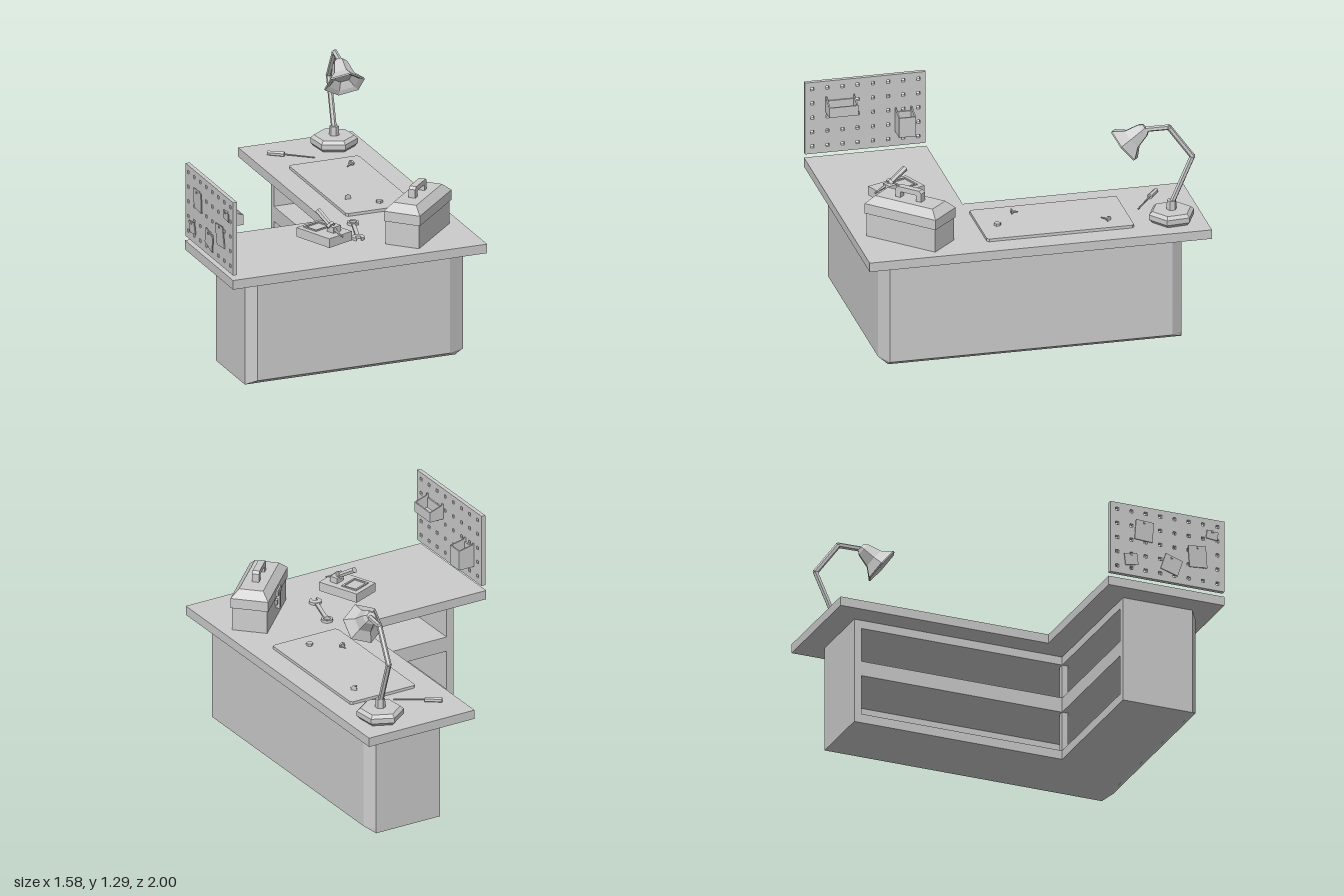
import * as THREE from 'three';

export function createModel() {
  const root = new THREE.Group();
  const grey = new THREE.MeshStandardMaterial({ color: 0xcccccc, flatShading: true, side: THREE.DoubleSide });
  grey.name = 'light grey';

  const add = (parent, name, geo, x = 0, y = 0, z = 0) => {
    const m = new THREE.Mesh(geo, grey);
    m.name = name;
    m.position.set(x, y, z);
    parent.add(m);
    return m;
  };
  const group = (name, x = 0, y = 0, z = 0, ry = 0, parent = root) => {
    const g = new THREE.Group();
    g.name = name;
    g.position.set(x, y, z);
    g.rotation.y = ry;
    parent.add(g);
    return g;
  };
  // box given by its limits
  const span = (parent, name, x0, x1, y0, y1, z0, z1) =>
    add(parent, name, new THREE.BoxGeometry(x1 - x0, y1 - y0, z1 - z0), (x0 + x1) / 2, (y0 + y1) / 2, (z0 + z1) / 2);
  // outline in x,z extruded upwards
  const slab = (pts, y0, y1) => {
    const s = new THREE.Shape(pts.map(([x, z]) => new THREE.Vector2(x, -z)));
    return new THREE.ExtrudeGeometry(s, { depth: y1 - y0, bevelEnabled: false }).rotateX(-Math.PI / 2).translate(0, y0, 0);
  };
  // tapered rod between two points
  const rod = (parent, name, a, b, r0, r1 = r0, sides = 6) => {
    const p = new THREE.Vector3(...a), q = new THREE.Vector3(...b), d = q.clone().sub(p);
    const m = add(parent, name, new THREE.CylinderGeometry(r1, r0, d.length(), sides));
    m.position.copy(p).add(q).multiplyScalar(0.5);
    m.quaternion.setFromUnitVectors(new THREE.Vector3(0, 1, 0), d.normalize());
    return m;
  };
  // surface through equal-length rings of points
  const loft = (rings, closed) => {
    const pos = [];
    const n = rings[0].length;
    for (let r = 0; r + 1 < rings.length; r++) {
      for (let i = 0; i < (closed ? n : n - 1); i++) {
        const j = (i + 1) % n, a = rings[r][i], b = rings[r][j], c = rings[r + 1][j], d = rings[r + 1][i];
        pos.push(...a, ...b, ...c, ...a, ...c, ...d);
      }
    }
    const g = new THREE.BufferGeometry();
    g.setAttribute('position', new THREE.Float32BufferAttribute(pos, 3));
    g.computeVertexNormals();
    return g;
  };

  // L-shaped worktop
  add(root, 'worktop', slab([[-0.77, 1], [0.79, 1], [0.79, -1], [0.09, -1], [0.09, 0.285], [-0.77, 0.285]], 0.64, 0.695));

  // cabinet: bevelled outer shell, shelves and end panels
  const cabinet = group('cabinet');
  const full = [[-0.64, 0.86], [-0.58, 0.905], [0.6, 0.905], [0.7, 0.86], [0.7, -0.79], [0.655, -0.855]];
  const inset = [[-0.64, 0.86], [-0.635, 0.86], [0.65, 0.86], [0.655, 0.855], [0.655, -0.85], [0.655, -0.855]];
  const ring = (pts, y) => pts.map(([x, z]) => [x, y, z]);
  add(cabinet, 'outerShell', loft([ring(inset, 0), ring(full, 0.03), ring(full, 0.61), ring(inset, 0.64)], false));
  const plan = [[-0.64, 0.86], [0.655, 0.86], [0.655, -0.855], [0.23, -0.855], [0.23, 0.43], [-0.64, 0.43]];
  for (const [name, y0, y1] of [['cabinetFloor', 0, 0.055], ['middleShelf', 0.295, 0.385], ['topRail', 0.59, 0.64]])
    add(cabinet, name, slab(plan, y0, y1));
  span(cabinet, 'frontInnerPanel', -0.64, 0.655, 0, 0.64, 0.84, 0.86);
  span(cabinet, 'sideInnerPanel', 0.635, 0.655, 0, 0.64, -0.855, 0.86);
  span(cabinet, 'backEndPanel', 0.23, 0.655, 0, 0.64, -0.855, -0.81);
  span(cabinet, 'rightEndPanel', -0.64, -0.595, 0, 0.64, 0.43, 0.86);
  span(cabinet, 'cornerPost', 0.23, 0.265, 0, 0.64, 0.43, 0.465);

  // pegboard with square holes
  const peg = group('pegboard');
  const board = new THREE.Shape([[-1, 0.725], [-0.295, 0.725], [-0.295, 1.165], [-1, 1.165]].map(p => new THREE.Vector2(...p)));
  for (let c = 0; c < 8; c++) for (let r = 0; r < 5; r++) {
    const u = -0.957 + c * 0.0885, v = 0.77 + r * 0.0885, h = 0.01;
    board.holes.push(new THREE.Path([[u - h, v - h], [u - h, v + h], [u + h, v + h], [u + h, v - h]].map(p => new THREE.Vector2(...p))));
  }
  add(peg, 'perforatedBoard', new THREE.ExtrudeGeometry(board, { depth: 0.025, bevelEnabled: false })
    .rotateY(Math.PI / 2), -0.77, 0, 0);
  // open bins with sloping sides, hung by hooks
  const bin = (x1, y0, yBack, yFront, z0, z1) => {
    const x0 = -0.745, t = 0.008;
    const side = new THREE.Shape([[x0, y0], [x1, y0], [x1, yFront], [x0, yBack]].map(p => new THREE.Vector2(...p)));
    for (const z of [z0, z1 - t])
      add(peg, 'binSide', new THREE.ExtrudeGeometry(side, { depth: t, bevelEnabled: false }), 0, 0, z);
    span(peg, 'binFloor', x0, x1, y0, y0 + t, z0, z1);
    span(peg, 'binFront', x1 - t, x1, y0, yFront, z0, z1);
    span(peg, 'binBack', x0, x0 + t, y0, yBack - 0.02, z0, z1);
    for (const z of [z0, z1 - t]) span(peg, 'binHook', x0, x0 + 0.012, yBack - 0.02, yBack + 0.005, z, z + t);
  };
  bin(-0.655, 0.975, 1.065, 1.035, 0.71, 0.88);
  bin(-0.645, 0.815, 0.955, 0.935, 0.375, 0.475);
  // notes pinned to the far side
  for (const [z, y, w, h, a] of [[0.5, 1.01, 0.11, 0.12, 0.05], [0.83, 0.91, 0.11, 0.13, -0.1],
    [0.67, 0.83, 0.11, 0.1, 0.3], [0.42, 0.82, 0.08, 0.07, -0.15], [0.92, 1.06, 0.07, 0.05, 0.1]]) {
    const n = add(peg, 'pinnedNote', new THREE.BoxGeometry(0.006, h, w), -0.78, y, z);
    n.rotation.set(a, 0, 0.06);
    add(peg, 'pin', new THREE.BoxGeometry(0.02, 0.012, 0.012), -0.78, y + h * 0.4, z);
  }

  // toolbox
  const box = group('toolbox', 0.492, 0.695, 0.69, Math.PI / 4);
  add(box, 'toolboxBody', new THREE.BoxGeometry(0.455, 0.14, 0.205), 0, 0.07, 0);
  const rect = (w, d, y) => [[-w, y, d], [w, y, d], [w, y, -d], [-w, y, -d]];
  add(box, 'toolboxLid', loft([rect(0, 0, 0.14), rect(0.235, 0.11, 0.14), rect(0.235, 0.11, 0.2),
    rect(0.19, 0.07, 0.245), rect(0, 0, 0.245)], true));
  const grip = new THREE.Shape([[-0.085, 0], [-0.085, 0.05], [-0.07, 0.065], [0.07, 0.065], [0.085, 0.05], [0.085, 0],
    [0.052, 0], [0.052, 0.035], [-0.052, 0.035], [-0.052, 0]].map(p => new THREE.Vector2(...p)));
  add(box, 'toolboxHandle', new THREE.ExtrudeGeometry(grip, { depth: 0.04, bevelEnabled: false }), 0, 0.245, -0.02);
  span(box, 'latchUpper', -0.04, 0.04, 0.145, 0.18, -0.12, -0.11);
  span(box, 'latchLower', -0.04, 0.04, 0.09, 0.12, -0.115, -0.1);
  span(box, 'latchTongue', -0.016, 0.016, 0.06, 0.16, -0.125, -0.1);

  // work mat and loose screws
  const mx = [0.225, 0.655], mz = [-0.58, 0.28], k = 0.012;
  add(root, 'workMat', slab([[mx[0], mz[1] - k], [mx[0] + k, mz[1]], [mx[1] - k, mz[1]], [mx[1], mz[1] - k],
    [mx[1], mz[0] + k], [mx[1] - k, mz[0]], [mx[0] + k, mz[0]], [mx[0], mz[0] + k]], 0.695, 0.712));
  const screw = (x, z, dx, dz) => {
    rod(root, 'screwHead', [x, 0.722, z], [x + dx * 0.2, 0.722, z + dz * 0.2], 0.02, 0.016);
    rod(root, 'screwShank', [x + dx * 0.2, 0.722, z + dz * 0.2], [x + dx, 0.718, z + dz], 0.009, 0.003);
  };
  screw(0.325, 0.06, 0, -0.04);
  screw(0.56, -0.455, -0.04, 0.035);
  add(root, 'looseNut', new THREE.CylinderGeometry(0.02, 0.02, 0.016, 6), 0.47, 0.718, 0.175);

  // desk lamp
  const lamp = group('deskLamp');
  const lathe = pts => new THREE.LatheGeometry(pts.map(p => new THREE.Vector2(...p)), 6);
  add(lamp, 'lampBase', lathe([[0, 0], [0.115, 0], [0.135, 0.02], [0.135, 0.05], [0.115, 0.068], [0, 0.07]]), 0.6, 0.697, -0.81)
    .rotation.y = 0.1;
  rod(lamp, 'lampSocket', [0.6, 0.76, -0.81], [0.6, 0.82, -0.81], 0.03, 0.027);
  const arm = [[0.6, 0.8, -0.81], [0.616, 1.085, -0.928], [0.597, 1.27, -0.795], [0.577, 1.262, -0.665]];
  for (let i = 0; i < 3; i++) rod(lamp, 'lampArm', arm[i], arm[i + 1], 0.016);
  for (const p of arm.slice(1, 3)) add(lamp, 'lampJoint', new THREE.IcosahedronGeometry(0.018, 0), ...p);
  const shade = add(lamp, 'lampShade', lathe([[0, 0.04], [0.05, 0.04], [0.09, 0.006], [0.117, -0.008], [0.12, 0],
    [0.068, 0.055], [0.045, 0.135], [0.028, 0.155], [0, 0.155]]), 0.555, 1.17, -0.548);
  shade.quaternion.setFromUnitVectors(new THREE.Vector3(0, 1, 0), new THREE.Vector3(0.11, 0.64, -0.76).normalize());

  // screwdriver
  rod(root, 'screwdriverHandle', [0.195, 0.71, -0.82], [0.275, 0.71, -0.762], 0.014, 0.016);
  rod(root, 'screwdriverShaft', [0.275, 0.71, -0.762], [0.42, 0.705, -0.66], 0.005, 0.004);

  // wrench: ring at one end, open jaw at the other
  const wrench = group('wrench', 0.175, 0.698, 0.535, 0.26);
  wrench.rotation.y = -0.27;
  add(wrench, 'wrenchShank', new THREE.BoxGeometry(0.022, 0.01, 0.2), 0, 0.008, 0);
  const flat = (name, shape, z) => add(wrench, name,
    new THREE.ExtrudeGeometry(shape, { depth: 0.016, bevelEnabled: false, curveSegments: 10 }).rotateX(-Math.PI / 2), 0, 0, z);
  const eye = new THREE.Shape().absarc(0, 0, 0.033, 0, Math.PI * 2);
  eye.holes.push(new THREE.Path().absarc(0, 0, 0.02, 0, Math.PI * 2, true));
  flat('wrenchRing', eye, -0.125);
  const jaw = new THREE.Shape().absarc(0, 0, 0.036, -1.15, Math.PI + 1.15);
  jaw.lineTo(-0.014, 0.002).lineTo(0.014, 0.002);
  flat('wrenchJaw', jaw, 0.118);

  // soldering stand with its iron
  const stand = group('solderingStand', -0.06, 0.725, 0.635, 0.39);
  add(stand, 'standBase', new THREE.BoxGeometry(0.18, 0.055, 0.265), 0, 0.0275, 0);
  for (const s of [-1, 1]) {
    add(stand, 'trayRimSide', new THREE.BoxGeometry(0.01, 0.008, 0.09), s * 0.055, 0.058, -0.055);
    add(stand, 'trayRimEnd', new THREE.BoxGeometry(0.12, 0.008, 0.01), 0, 0.058, -0.055 + s * 0.045);
  }
  add(stand, 'holderBlock', new THREE.BoxGeometry(0.06, 0.035, 0.05), 0.02, 0.072, 0.06);
  rod(root, 'ironHandle', [-0.075, 0.878, 0.58], [-0.04, 0.82, 0.67], 0.018, 0.016);
  rod(root, 'ironCollar', [-0.04, 0.82, 0.67], [-0.034, 0.811, 0.685], 0.026, 0.024);
  rod(root, 'ironTip', [-0.034, 0.811, 0.685], [-0.003, 0.772, 0.775], 0.012, 0.004);

  return root;
}
